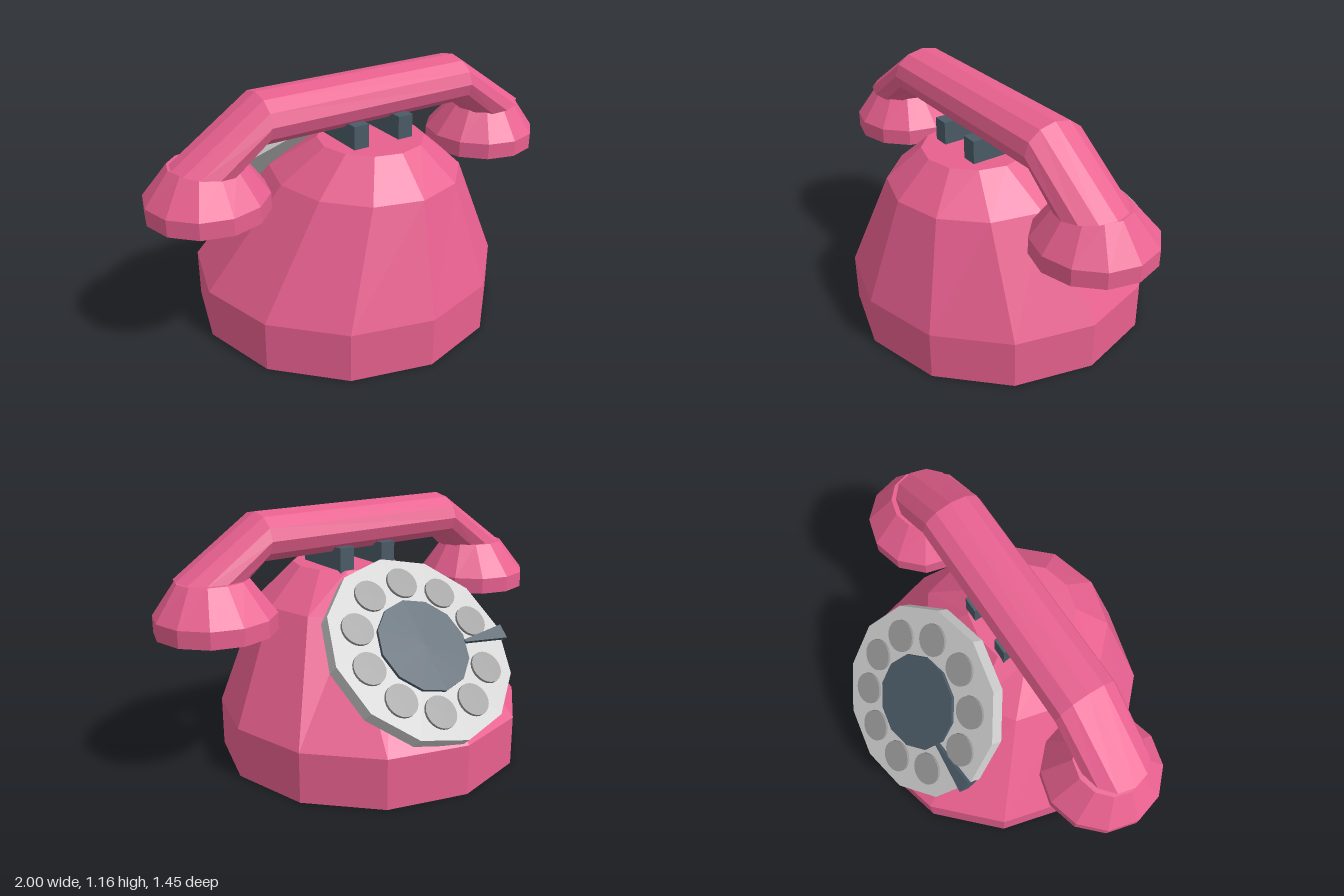
import * as THREE from 'three';

const SIDES = 12;
const material = (color) => new THREE.MeshStandardMaterial({ color, flatShading: true });

// Skin a stack of equal-sized rings and close both ends
function loft(rings) {
  const n = rings[0].length, last = (rings.length - 1) * n, index = [];
  for (let i = 0; i < rings.length - 1; i++) {
    for (let j = 0; j < n; j++) {
      const a = i * n + j, b = i * n + (j + 1) % n;
      index.push(a, b, b + n, a, b + n, a + n);
    }
  }
  for (let j = 1; j < n - 1; j++) {
    index.push(0, j + 1, j, last, last + j, last + j + 1);
  }
  const g = new THREE.BufferGeometry().setFromPoints(rings.flat());
  g.setIndex(index);
  const flat = g.toNonIndexed();
  flat.computeVertexNormals();
  return flat;
}

const ring = (point) => Array.from({ length: SIDES }, (_, i) => point(i / SIDES * Math.PI * 2));

// Horizontal ring; minZ flattens its back
const level = (x, y, z, r, rz = r, minZ = -9) => ring((a) =>
  new THREE.Vector3(x + r * Math.sin(a), y, Math.max(minZ, z + rz * Math.cos(a))));

function add(parent, name, geometry, mat, x = 0, y = 0, z = 0) {
  const mesh = new THREE.Mesh(geometry, mat);
  mesh.name = name;
  mesh.position.set(x, y, z);
  parent.add(mesh);
  return mesh;
}

export function createModel() {
  const model = new THREE.Group();
  model.name = 'telephone';
  const pink = material(0xe8608f), dark = material(0x4a5a66);
  const silver = material(0xbfbfbf), grey = material(0x989898);

  // Body with a flattened, sloping back
  add(model, 'body', loft([
    level(-0.02, 0, 0.01, 0.715),
    level(-0.02, 0.23, 0.01, 0.715),
    level(0.02, 0.72, 0.12, 0.43, 0.45, -0.21),
    level(0.02, 0.875, 0.17, 0.24, 0.24, -0.06),
  ]), pink);

  // Cradle posts
  for (const x of [-0.097, 0.132]) {
    add(model, 'cradlePost', new THREE.BoxGeometry(0.074, 0.12, 0.305), dark, x, 0.92, 0.123);
  }

  // Handset
  const handset = new THREE.Group();
  handset.name = 'handset';
  model.add(handset);
  const handleRing = (x, y, upX, upY, rz) => ring((a) => new THREE.Vector3(
    x + upX * Math.cos(a), y + upY * Math.cos(a), 0.117 + rz * Math.sin(a)));
  add(handset, 'handle', loft([
    handleRing(-0.745, 0.88, -0.145, 0.02, 0.15),
    handleRing(-0.51, 1.05, 0, 0.11, 0.15),
    handleRing(0.51, 1.05, 0, 0.11, 0.15),
    handleRing(0.745, 0.88, 0.145, 0.02, 0.15),
  ]), pink);
  for (const side of [-1, 1]) {
    const x = side * 0.735;
    add(handset, side > 0 ? 'leftCup' : 'rightCup', loft([
      level(x, 0.675, 0.083, 0.265),
      level(x, 0.75, 0.083, 0.265),
      level(x, 0.897, 0.095, 0.16, 0.147),
    ]), pink);
  }

  // Dial, tilted on the back slope; local y = 0 is its face
  const dial = new THREE.Group();
  dial.name = 'dial';
  dial.position.set(0, 0.595, -0.4125);
  dial.rotation.x = -0.81;
  model.add(dial);
  const disc = (r, h, n = SIDES) => new THREE.CylinderGeometry(r, r, h, n);
  add(dial, 'dialPlate', disc(0.452, 0.066), silver, 0, -0.033, 0);
  add(dial, 'dialCentre', disc(0.225, 0.03), dark, 0, 0, 0);

  // Finger spots
  for (const degrees of [111, 76, 42, 8, -26, -62, -98, -134, -169, -213]) {
    const a = THREE.MathUtils.degToRad(degrees);
    add(dial, 'fingerSpot', disc(0.075, 0.03, 24), grey,
      0.315 * Math.cos(a), -0.002, -0.315 * Math.sin(a));
  }

  // Finger stop wedge
  const wedge = new THREE.Shape([
    new THREE.Vector2(-0.455, -0.065), new THREE.Vector2(-0.215, -0.036),
    new THREE.Vector2(-0.215, -0.024), new THREE.Vector2(-0.455, 0.005),
  ]);
  const stop = add(dial, 'fingerStop',
    new THREE.ExtrudeGeometry(wedge, { depth: 0.06, bevelEnabled: false }), dark, 0, 0.02, 0);
  stop.rotation.x = Math.PI / 2;

  return model;
}
